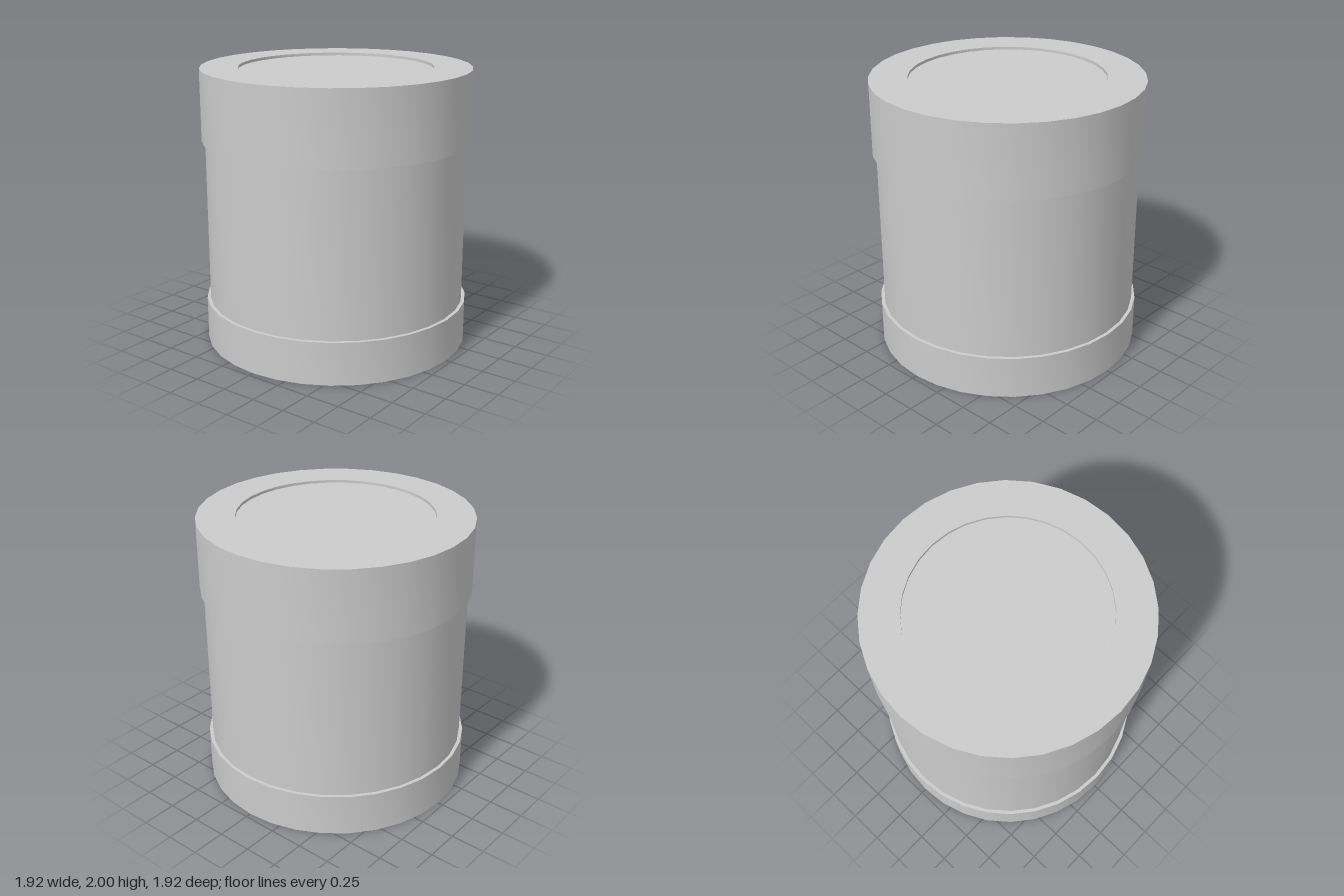
import * as THREE from 'three';
import { toCreasedNormals } from 'three/addons/utils/BufferGeometryUtils.js';

const SIDES = 32;
const BAND_R = 0.96, BODY_R = 0.935, RECESS_R = 0.69, RECESS_DEPTH = 0.02;
const BASE_TOP = 0.31, LID_BOTTOM = 1.485, HEIGHT = 2;

export function createModel() {
  const group = new THREE.Group();
  group.name = 'canister';
  const material = new THREE.MeshStandardMaterial({ color: 0xcccccc });

  // Revolves a profile listed from bottom to top, keeping its corners sharp
  function turned(name, profile) {
    const points = profile.map(([r, y]) => new THREE.Vector2(r, y));
    const geometry = toCreasedNormals(new THREE.LatheGeometry(points, SIDES), Math.PI / 6);
    const mesh = new THREE.Mesh(geometry, material);
    mesh.name = name;
    group.add(mesh);
  }

  // Base band with a shallow round recess underneath
  turned('baseBand', [
    [0, RECESS_DEPTH], [RECESS_R, RECESS_DEPTH], [RECESS_R, 0],
    [BAND_R, 0], [BAND_R, BASE_TOP], [BODY_R, BASE_TOP],
  ]);

  // Slightly narrower wall between the bands
  turned('body', [[BODY_R, BASE_TOP], [BODY_R, LID_BOTTOM]]);

  // Lid with a shallow round recess on top
  turned('lid', [
    [BODY_R, LID_BOTTOM], [BAND_R, LID_BOTTOM], [BAND_R, HEIGHT],
    [RECESS_R, HEIGHT], [RECESS_R, HEIGHT - RECESS_DEPTH], [0, HEIGHT - RECESS_DEPTH],
  ]);

  return group;
}
